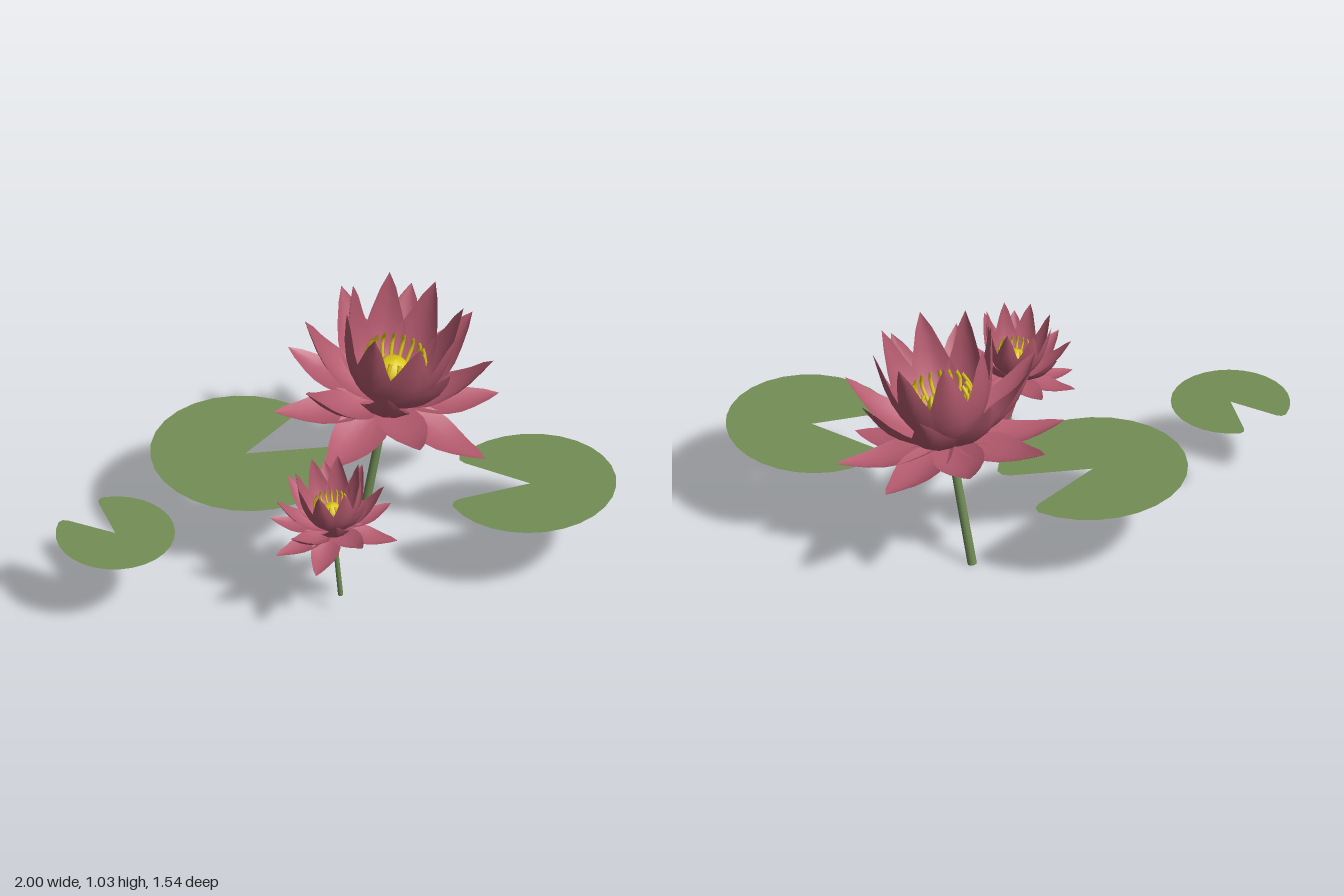
import * as THREE from 'three';

const mat = (name, color, side = THREE.FrontSide) => {
  const m = new THREE.MeshStandardMaterial({ color, side });
  m.name = name;
  return m;
};
const rad = THREE.MathUtils.degToRad;
const UP = new THREE.Vector3(0, 1, 0);

// Pointed, cupped petal swept along a radial [r, y] path
function petalGeometry(path, halfWidth, cup) {
  const curve = new THREE.SplineCurve(path.map(p => new THREE.Vector2(...p)));
  const profile = [0.3, 0.6, 0.85, 0.99, 0.97, 0.83, 0.6, 0.32, 0];
  const rows = profile.length - 1, cols = 4, pos = [], index = [];
  profile.forEach((w, i) => {
    const p = curve.getPoint(i / rows), d = curve.getTangent(i / rows);
    for (let j = 0; j <= cols; j++) {
      const s = (j / cols) * 2 - 1;
      const lift = cup * w * s * s;
      pos.push(p.x - d.y * lift, p.y + d.x * lift, s * w * halfWidth);
      if (i < rows && j < cols) {
        const a = i * (cols + 1) + j, b = a + cols + 1;
        index.push(a, a + 1, b, a + 1, b + 1, b);
      }
    }
  });
  const g = new THREE.BufferGeometry();
  g.setAttribute('position', new THREE.Float32BufferAttribute(pos, 3));
  g.setIndex(index);
  g.computeVertexNormals();
  return g;
}

// Petal rings from the outermost to the innermost; lifts raise or droop single petals (radians)
const RINGS = [
  { name: 'outerPetal', turn: 0, width: 0.1, cup: 0.03,
    path: [[0.02, 0.02], [0.15, 0.0], [0.3, -0.005], [0.45, 0.035]],
    lifts: [0, -0.13, 0.22, -0.17, -0.1, 0.02, 0.12, 0] },
  { name: 'middlePetal', turn: 22.5, width: 0.1, cup: 0.035,
    path: [[0.02, 0.02], [0.16, 0.07], [0.28, 0.17], [0.37, 0.32]],
    lifts: [0, 0.17, 0, -0.25, 0, 0, 0, 0.04] },
  { name: 'innerPetal', turn: 0, width: 0.1, cup: 0.035,
    path: [[0.02, 0.03], [0.13, 0.1], [0.205, 0.26], [0.235, 0.47]],
    lifts: [0, 0, 0, 0, 0, 0, 0, 0] },
];

function stem(from, to, r0, r1, material) {
  const dir = to.clone().sub(from);
  const m = new THREE.Mesh(new THREE.CylinderGeometry(r1, r0, dir.length(), 12), material);
  m.name = 'stem';
  m.position.copy(from).add(to).multiplyScalar(0.5);
  m.quaternion.setFromUnitVectors(UP, dir.normalize());
  return m;
}

function flower(mats, base, axis, scale, phase) {
  const g = new THREE.Group();
  const ringOf = (name, geometry, material, lifts, start) => lifts.forEach((lift, i) => {
    const m = new THREE.Mesh(geometry, material);
    m.name = name;
    m.rotation.set(0, -rad(start + (i * 360) / lifts.length), lift);
    g.add(m);
  });
  for (const r of RINGS) {
    ringOf(r.name, petalGeometry(r.path, r.width, r.cup), mats.petal, r.lifts, phase + r.turn);
  }

  // Seed pod with a domed top
  const pod = [[0, 0.03], [0.025, 0.05], [0.055, 0.115], [0.067, 0.165], [0.06, 0.198], [0.038, 0.22], [0, 0.228]];
  const seedPod = new THREE.Mesh(
    new THREE.LatheGeometry(pod.map(p => new THREE.Vector2(...p)), 20), mats.yellow);
  seedPod.name = 'seedPod';
  g.add(seedPod);

  // Orange cup around the pod
  const cup = new THREE.Mesh(
    new THREE.CylinderGeometry(0.08, 0.035, 0.11, 20, 1, true), mats.orange);
  cup.name = 'stamenCup';
  cup.position.y = 0.11;
  g.add(cup);

  // Stamens curving out and back in at the tip
  const line = new THREE.CatmullRomCurve3(
    [[0.07, 0.12], [0.1, 0.18], [0.117, 0.235], [0.1, 0.28]].map(p => new THREE.Vector3(p[0], p[1], 0)));
  ringOf('stamen', new THREE.TubeGeometry(line, 8, 0.0075, 6), mats.yellow, new Array(18).fill(0), phase);

  g.scale.setScalar(scale);
  g.position.copy(base);
  g.quaternion.setFromUnitVectors(UP, axis.clone().normalize());
  return g;
}

// Round floating leaf with a notch between two angles (degrees from +x towards +z)
function pad(material, [x, y, z], r, notchStart, notchEnd, tiltX, tiltZ) {
  const pts = [new THREE.Vector2(0, 0)];
  const at = (deg, k) => pts.push(new THREE.Vector2(Math.cos(rad(deg)) * r * k, -Math.sin(rad(deg)) * r * k));
  const end = notchStart + 360, steps = 24;
  at(notchEnd, 0.87);
  at(notchEnd + 1.5, 0.95);
  for (let i = 0; i <= steps; i++) at(notchEnd + 6 + ((end - notchEnd - 12) * i) / steps, 1);
  at(end - 1.5, 0.95);
  at(end, 0.87);
  const geo = new THREE.ShapeGeometry(new THREE.Shape(pts)).rotateX(-Math.PI / 2);
  const m = new THREE.Mesh(geo, material);
  m.name = 'lilyPad';
  m.position.set(x, y, z);
  m.rotation.set(tiltX, 0, tiltZ);
  return m;
}

export function createModel() {
  const model = new THREE.Group();
  model.name = 'waterLilies';
  const mats = {
    petal: mat('petalPink', 0xb45a6e, THREE.DoubleSide),
    yellow: mat('pollenYellow', 0xdec81a),
    orange: mat('stamenOrange', 0xd8801a, THREE.DoubleSide),
    leaf: mat('leafGreen', 0x738e55, THREE.DoubleSide),
    stem: mat('stemGreen', 0x708c55),
  };

  // Flowers on leaning stems
  const plants = [
    { name: 'largeFlower', foot: [0.375, 0.003, -0.228], base: [0.425, 0.53, -0.155], r: 0.018, scale: 1, phase: 22.5 },
    { name: 'smallFlower', foot: [-0.102, 0.092, 0.242], base: [-0.132, 0.408, 0.238], r: 0.01, scale: 0.565, phase: 9 },
  ];
  for (const p of plants) {
    const foot = new THREE.Vector3(...p.foot), base = new THREE.Vector3(...p.base);
    const axis = base.clone().sub(foot);
    const plant = new THREE.Group();
    plant.name = p.name;
    const top = base.clone().addScaledVector(axis.clone().normalize(), 0.05 * p.scale);
    plant.add(stem(foot, top, p.r, p.r * 0.9, mats.stem));
    plant.add(flower(mats, base, axis, p.scale, p.phase));
    model.add(plant);
  }

  // Floating leaves
  model.add(
    pad(mats.leaf, [-0.065, 0.373, -0.405], 0.367, -15, 28, 0.034, -0.012),
    pad(mats.leaf, [0.668, 0.39, 0.437], 0.332, 198, 247, -0.025, 0.004),
    pad(mats.leaf, [-0.77, 0.364, -0.31], 0.23, 242, 289, 0.012, 0.03),
  );
  return model;
}
